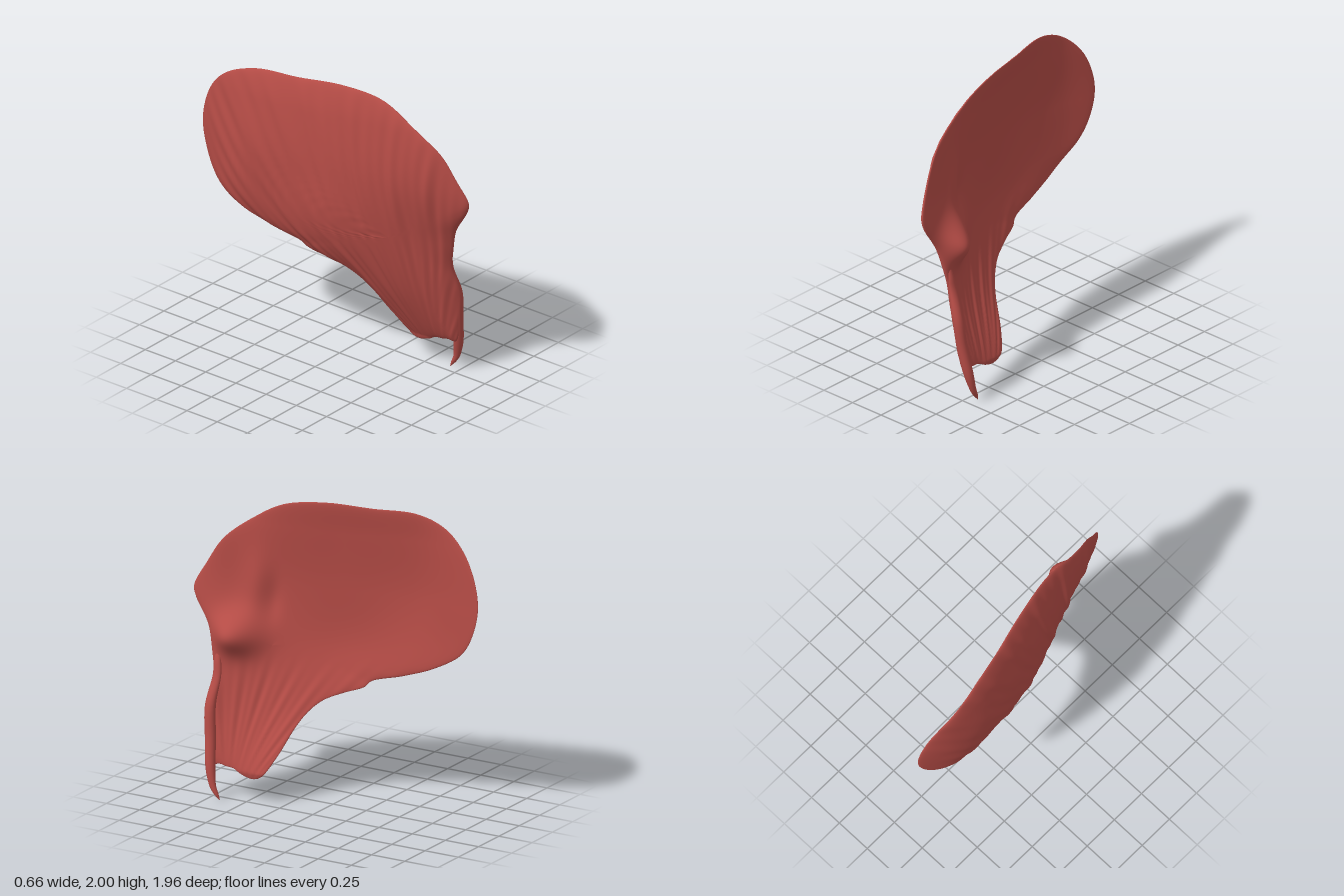
import * as THREE from 'three';

const red = new THREE.MeshStandardMaterial({ color: 0xb54c46 });
red.name = 'muscleRed';

// smooth interpolation of values v at knots k
function smooth(k, v, t) {
  const n = k.length;
  t = Math.min(Math.max(t, k[0]), k[n - 1]);
  let i = 0;
  while (i < n - 2 && t > k[i + 1]) i++;
  const slope = (a) => {
    const p = Math.max(a - 1, 0), q = Math.min(a + 1, n - 1);
    return (v[q] - v[p]) / (k[q] - k[p]);
  };
  const h = k[i + 1] - k[i], s = (t - k[i]) / h, s2 = s * s, s3 = s2 * s;
  return (2 * s3 - 3 * s2 + 1) * v[i] + (s3 - 2 * s2 + s) * h * slope(i)
    + (3 * s2 - 2 * s3) * v[i + 1] + (s3 - s2) * h * slope(i + 1);
}

// sideways position of the curved sheet, by depth (columns) and height (rows)
const zKnots = [-1, -0.72, -0.45, 0, 0.4, 0.7, 0.85, 1];
const yKnots = [0.2, 0.6, 1.0, 1.4, 1.8, 2.0];
const sheet = [
  [0.1, 0.12, 0.15, 0.24, 0.245, 0.26, 0.285, 0.3],
  [-0.08, -0.1, -0.1, -0.03, 0.06, 0.165, 0.25, 0.29],
  [-0.15, -0.23, -0.23, -0.18, -0.04, 0.09, 0.145, 0.18],
  [-0.18, -0.26, -0.28, -0.19, -0.08, 0.005, 0.06, 0.11],
  [-0.18, -0.25, -0.25, -0.15, -0.05, 0.005, 0.055, 0.1],
  [-0.18, -0.24, -0.215, -0.11, -0.02, 0.02, 0.06, 0.1],
];
const midX = (z, y) => smooth(yKnots, sheet.map((row) => smooth(zKnots, row, z)), y);
const bump = (z, y, cz, cy, rz, ry) => Math.exp(-(((z - cz) / rz) ** 2) - ((y - cy) / ry) ** 2);

// closed grid of rings, triangulated
function loft(rows, cols, point) {
  const pos = [], idx = [];
  for (let j = 0; j <= rows; j++)
    for (let i = 0; i < cols; i++) pos.push(...point(i, j));
  for (let j = 0; j < rows; j++)
    for (let i = 0; i < cols; i++) {
      const k = (i + 1) % cols;
      const a = j * cols + i, b = j * cols + k, c = a + cols, d = b + cols;
      idx.push(a, b, c, b, d, c);
    }
  const g = new THREE.BufferGeometry();
  g.setAttribute('position', new THREE.Float32BufferAttribute(pos, 3));
  g.setIndex(idx);
  g.computeVertexNormals();
  return g;
}

// fan-shaped belly: outline as [z, y], filled by shrinking rings on both faces
function fanBelly() {
  const outline = [
    [0.45, 0.16], [0.385, 0.19], [0.31, 0.32], [0.24, 0.5], [0.18, 0.6], [0.1, 0.675], [-0.02, 0.73],
    [-0.15, 0.78], [-0.19, 0.82], [-0.4, 0.88], [-0.62, 0.96], [-0.84, 1.1], [-0.945, 1.28], [-0.975, 1.48],
    [-0.89, 1.73], [-0.72, 1.9], [-0.5, 1.985], [-0.2, 1.99], [0.1, 2.0], [0.38, 1.96], [0.6, 1.84],
    [0.8, 1.68], [0.91, 1.5], [0.98, 1.35], [0.965, 1.28], [0.86, 1.1], [0.82, 0.95],
    [0.795, 0.8], [0.815, 0.6], [0.795, 0.4], [0.75, 0.22], [0.7, 0.225], [0.65, 0.215], [0.6, 0.21], [0.53, 0.175],
  ];
  const N = 420, J = 42, cz = 0.45, cy = 1.0;
  const curve = new THREE.CatmullRomCurve3(outline.map(([z, y]) => new THREE.Vector3(0, y, z)), true, 'centripetal');
  const rim = curve.getSpacedPoints(N);
  return loft(2 * J, N, (i, j) => {
    const outer = j < J;
    const u = outer ? j / J : (2 * J - j) / J;
    const r = Math.sin(u * Math.PI / 2);
    const z = cz + (rim[i].z - cz) * r, y = cy + (rim[i].y - cy) * r;
    const edge = Math.sqrt(Math.max(0, 1 - r ** 5));
    // fibres fan out from the lower front
    const phi = Math.atan2(y + 0.1, z - 0.6);
    const fibre = 0.7 * Math.sin(phi * 47 + Math.sin(y * 5)) + 0.6 * Math.sin(phi * 83 + 2 * Math.sin(y * 3 + z));
    const x = midX(z, y);
    if (outer) {
      // finer strands where the fan is wide
      const wide = THREE.MathUtils.smoothstep(y, 0.4, 0.9);
      const strand = Math.sin(phi * 121 + 1.5 * Math.sin(y * 4 - z * 2));
      return [x - edge * (0.045 + 0.005 * fibre + 0.003 * wide * strand), y, z];
    }
    // smooth inner face with a front swelling, grooved toward the narrow end
    const low = THREE.MathUtils.smoothstep(1.0 - y, 0, 0.35);
    const swell = 0.135 * bump(z, y, 0.66, 1.07, 0.15, 0.13) - 0.025 * bump(z, y, 0.48, 1.3, 0.06, 0.15)
      + 0.03 * bump(z, y, 0.57, 1.4, 0.09, 0.22);
    return [x + edge * (0.025 + swell + 0.005 * low * fibre), y, z];
  });
}

// tendon: flattened oval sections [x, y, z, half thickness, half depth], merging into the front edge
function tendonStrip() {
  const s = [
    [0.15, 0.98, 0.775, 0.004, 0.008], [0.165, 0.88, 0.77, 0.018, 0.025], [0.185, 0.78, 0.765, 0.02, 0.03],
    [0.238, 0.6, 0.78, 0.035, 0.036], [0.262, 0.4, 0.765, 0.036, 0.036], [0.295, 0.22, 0.745, 0.034, 0.033],
    [0.312, 0.1, 0.72, 0.02, 0.024], [0.312, 0.04, 0.692, 0.015, 0.016], [0.308, 0, 0.668, 0.002, 0.002],
  ];
  const knots = s.map((_, k) => k);
  const at = (n, t) => smooth(knots, s.map((p) => p[n]), t);
  const rows = 40, cols = 20;
  return loft(rows, cols, (i, j) => {
    const t = (j / rows) * (s.length - 1), a = (-i / cols) * Math.PI * 2;
    return [at(0, t) + Math.cos(a) * at(3, t), at(1, t), at(2, t) - Math.sin(a) * at(4, t)];
  });
}

export function createModel() {
  const group = new THREE.Group();
  group.name = 'fanMuscle';
  const add = (name, geometry) => {
    const mesh = new THREE.Mesh(geometry, red);
    mesh.name = name;
    group.add(mesh);
  };
  add('fanBelly', fanBelly());
  add('tendon', tendonStrip());
  return group;
}
